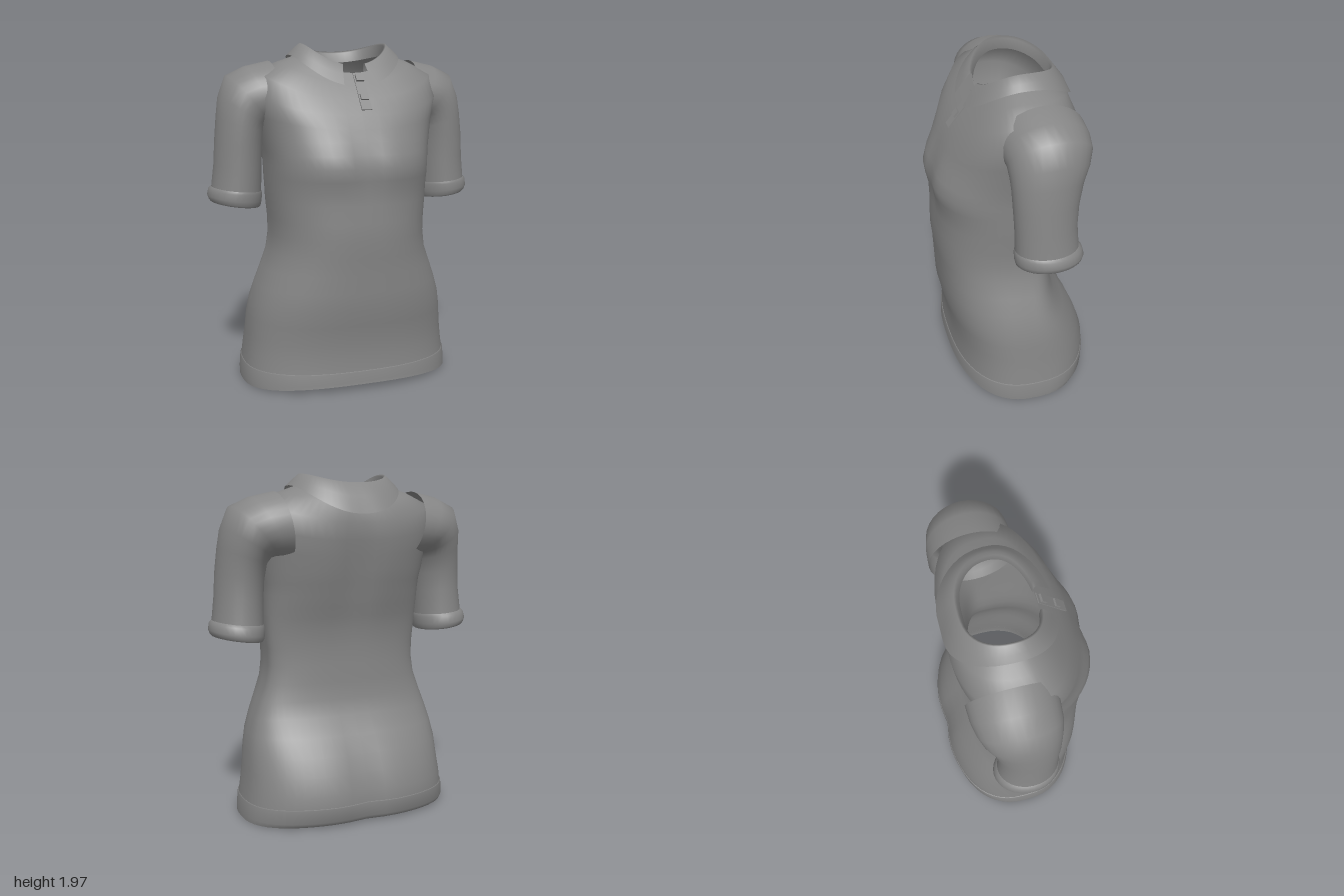
import * as THREE from 'three';

const fabric = new THREE.MeshStandardMaterial({ color: 0x868686, side: THREE.DoubleSide });
fabric.name = 'grey fabric';

// Skin a list of cross-sections (arrays of [x, y, z]) with smooth normals
function loft(name, rows, closed = true, flip = false) {
  const n = rows[0].length, index = [];
  const steps = closed ? n : n - 1;
  for (let r = 0; r < rows.length - 1; r++) {
    for (let i = 0; i < steps; i++) {
      const a = r * n + i, b = r * n + (i + 1) % n, c = a + n, d = b + n;
      if (flip) index.push(a, c, b, b, c, d);
      else index.push(a, b, c, b, d, c);
    }
  }
  const geo = new THREE.BufferGeometry();
  geo.setAttribute('position', new THREE.Float32BufferAttribute(rows.flat(2), 3));
  geo.setIndex(index);
  geo.computeVertexNormals();
  const mesh = new THREE.Mesh(geo, fabric);
  mesh.name = name;
  return mesh;
}

const bell = (v, width) => Math.exp(-((v / width) ** 2));
const spow = (v, e) => Math.sign(v) * Math.abs(v) ** e;

// Horizontal section; height may differ at front, side and back. Angle 0 is the front.
function ring([yFront, ySide, yBack, w, zFront, zBack, e = 0.8], n = 56, gap = 0, grow = 0) {
  const pts = [], zMid = -0.03;
  for (let i = 0; i < n; i++) {
    const t = gap ? gap + (i / (n - 1)) * (2 * Math.PI - 2 * gap) : (i / n) * 2 * Math.PI;
    const c = Math.cos(t), s = Math.sin(t);
    const y = ySide + ((c > 0 ? yFront : yBack) - ySide) * c * c;
    const x = (w + grow) * spow(s, e);
    let z = zMid + ((c > 0 ? zFront : -zBack + 2 * zMid) - zMid + grow) * spow(c, e);
    // hollow between the bust, and a groove along the spine
    if (c > 0) z -= 0.025 * bell(x, 0.09) * bell(y - 1.33, 0.14);
    else z += 0.03 * bell(x, 0.1) * (bell(y - 0.2, 0.25) + bell(y - 1.5, 0.3));
    pts.push([x, y, z]);
  }
  return pts;
}

// Sleeve section: centre, in-out radius, depth radius and tilt in degrees
function sleeveRing([cx, cy, cz, r, rz, tilt], side) {
  const pts = [], a = THREE.MathUtils.degToRad(tilt);
  for (let i = 0; i < 32; i++) {
    const t = (i / 32) * 2 * Math.PI, u = r * Math.cos(t);
    pts.push([side * (cx + u * Math.cos(a)), cy + u * Math.sin(a), cz + rz * Math.sin(t)]);
  }
  return pts;
}

export function createModel() {
  const shirt = new THREE.Group();
  shirt.name = 'shirt';
  const level = (y, ...rest) => [y, y, y, ...rest];

  // Torso from hem to neckline
  const torso = [
    level(0.12, 0.628, 0.38, -0.445),
    level(0.2, 0.617, 0.375, -0.445),
    level(0.3, 0.605, 0.38, -0.41),
    level(0.4, 0.597, 0.395, -0.365),
    level(0.5, 0.58, 0.415, -0.3),
    level(0.6, 0.55, 0.42, -0.235),
    level(0.7, 0.512, 0.425, -0.205),
    level(0.8, 0.475, 0.43, -0.2),
    level(0.9, 0.46, 0.44, -0.195),
    level(1.0, 0.463, 0.437, -0.195),
    level(1.1, 0.472, 0.433, -0.205),
    level(1.18, 0.475, 0.435, -0.225),
    level(1.24, 0.478, 0.45, -0.245),
    level(1.31, 0.48, 0.46, -0.265),
    level(1.38, 0.485, 0.44, -0.285),
    level(1.45, 0.5, 0.405, -0.305),
    [1.52, 1.58, 1.53, 0.52, 0.37, -0.32],
    [1.59, 1.7, 1.62, 0.55, 0.335, -0.337],
    [1.68, 1.82, 1.72, 0.52, 0.28, -0.343],
    [1.76, 1.88, 1.82, 0.39, 0.215, -0.31],
    [1.82, 1.925, 1.89, 0.26, 0.165, -0.24, 0.9],
  ];
  shirt.add(loft('torso', torso.map((p) => ring(p))));

  // Hem band, slightly proud of the torso
  const hem = [
    [0.045, 0.01, 0.02, 0.635, 0.385, -0.405],
    [0.06, 0.04, 0.05, 0.635, 0.383, -0.437],
    [0.12, 0.12, 0.13, 0.628, 0.38, -0.445],
    [0.123, 0.123, 0.133, 0.62, 0.374, -0.439],
  ];
  shirt.add(loft('hemBand', hem.map((p) => ring(p, 56, 0, 0.006))));

  // Short sleeves with cuffs
  const sleeve = [
    [0.4, 1.69, -0.08, 0.2, 0.24, 80],
    [0.49, 1.68, -0.08, 0.195, 0.235, 65],
    [0.56, 1.66, -0.075, 0.19, 0.225, 50],
    [0.595, 1.6, -0.065, 0.158, 0.21, 32],
    [0.612, 1.53, -0.05, 0.14, 0.19, 18],
    [0.625, 1.42, -0.04, 0.136, 0.175, 8],
    [0.632, 1.3, -0.04, 0.136, 0.168, 5],
    [0.642, 1.16, -0.045, 0.143, 0.173, 6],
  ];
  const cuff = [
    [0.642, 1.165, -0.045, 0.143, 0.173, 6],
    [0.647, 1.15, -0.05, 0.154, 0.184, 6],
    [0.652, 1.11, -0.055, 0.157, 0.188, 7],
    [0.651, 1.085, -0.055, 0.15, 0.182, 8],
    [0.65, 1.075, -0.055, 0.142, 0.172, 8],
  ];
  for (const [side, label] of [[1, 'left'], [-1, 'right']]) {
    shirt.add(loft(label + 'Sleeve', sleeve.map((p) => sleeveRing(p, side)), true, side < 0));
    shirt.add(loft(label + 'Cuff', cuff.map((p) => sleeveRing(p, side)), true, side < 0));
  }

  // Fold-over collar, open at the front
  const collar = [
    [1.75, 1.92, 1.765, 0.325, 0.262, -0.36, 0.9],
    [1.81, 1.95, 1.86, 0.295, 0.222, -0.315, 0.9],
    [1.865, 1.985, 1.935, 0.255, 0.18, -0.255, 0.9],
    [1.865, 1.975, 1.925, 0.24, 0.168, -0.243, 0.9],
    [1.81, 1.91, 1.87, 0.25, 0.16, -0.23, 0.9],
  ];
  shirt.add(loft('collar', collar.map((p) => ring(p, 48, 0.22)), false));

  // Button placket following the slope of the chest
  const placket = new THREE.Mesh(new THREE.BoxGeometry(0.06, 0.25, 0.008), fabric);
  placket.name = 'placket';
  placket.position.set(0.025, 1.72, 0.25);
  placket.rotation.x = -0.69;
  shirt.add(placket);
  for (const [y, z] of [[1.79, 0.2], [1.69, 0.28]]) {
    const button = new THREE.Mesh(new THREE.BoxGeometry(0.045, 0.04, 0.022), fabric);
    button.name = 'button';
    button.position.set(0.025, y, z);
    button.rotation.x = -0.69;
    shirt.add(button);
  }
  return shirt;
}
